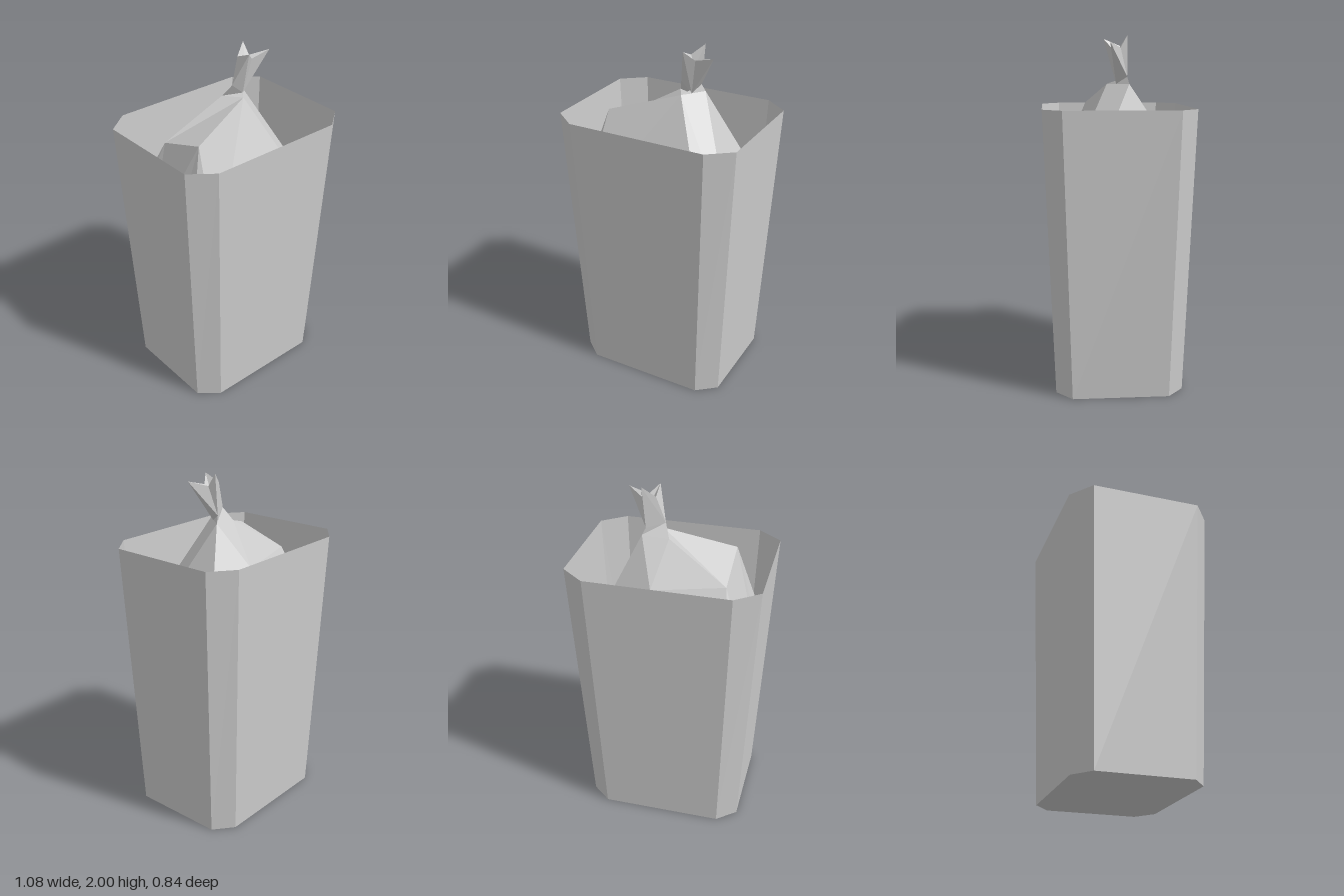
import * as THREE from 'three';

const material = new THREE.MeshStandardMaterial({ color: 0xcccccc, flatShading: true, side: THREE.DoubleSide });

// Flat-shaded mesh from triangles given as corner points
function facets(name, triangles) {
  const geometry = new THREE.BufferGeometry();
  geometry.setAttribute('position', new THREE.Float32BufferAttribute(triangles.flat(2), 3));
  geometry.computeVertexNormals();
  const mesh = new THREE.Mesh(geometry, material);
  mesh.name = name;
  return mesh;
}

// Triangles from one centre to a strip of points
function fan(centre, points) {
  return points.slice(1).map((p, i) => [centre, points[i], p]);
}

// Rectangle with cut corners, counter-clockwise from above
function octagon(y, x, z, cx, cz) {
  return [[cx, z], [x, cz], [x, -cz], [cx, -z], [-cx, -z], [-x, -cz], [-x, cz], [-cx, z]]
    .map(([a, b]) => [a, y, b]);
}

function createBin() {
  const bin = new THREE.Group();
  bin.name = 'bin';
  const low = octagon(0, 0.46, 0.36, 0.35, 0.27);
  const top = octagon(1.6, 0.54, 0.42, 0.405, 0.315);
  const walls = [];
  low.forEach((p, i) => {
    const j = (i + 1) % low.length;
    walls.push([p, low[j], top[j]], [p, top[j], top[i]]);
  });
  bin.add(facets('binWalls', walls));
  bin.add(facets('binFloor', fan([0, 0, 0], [...low, low[0]].reverse())));
  return bin;
}

function createBag() {
  const bag = new THREE.Group();
  bag.name = 'trashBag';

  // Line where the bag touches the bin walls, clockwise from the back left
  const rim = [
    [-0.385, -0.395], [0.355, -0.395], [0.505, -0.3], [0.5, 0.245], [0.4, 0.38], [-0.39, 0.39],
    [-0.49, 0.285], [-0.49, 0.11], [-0.505, -0.05], [-0.505, -0.22], [-0.49, -0.31],
  ].map(([x, z]) => [x, 1.04, z]);
  const rims = (...ids) => ids.map((i) => rim[i]);

  // Bulges of the sack and the three corners of its neck
  const leftBack = [-0.32, 1.51, -0.145];
  const leftFront = [-0.32, 1.61, 0.155];
  const back = [0.08, 1.49, -0.24];
  const neckRight = [0.17, 1.73, -0.07];
  const neckLeft = [0.02, 1.72, -0.06];
  const neckFront = [0.08, 1.73, 0.05];

  bag.add(facets('sack', [
    ...fan(neckRight, [neckFront, rim[3], rim[2], back, neckLeft]),
    ...fan(neckFront, [leftFront, ...rims(5, 4, 3)]),
    ...fan(leftFront, [leftBack, ...rims(8, 7, 6, 5), neckFront]),
    ...fan(leftBack, [back, ...rims(0, 10, 9, 8)]),
    ...fan(back, rims(2, 1, 0)),
    [neckLeft, leftBack, neckFront],
    [neckFront, leftBack, leftFront],
    [neckLeft, back, leftBack],
  ]));

  // Twisted neck, pinched under the flared ends
  const neck = [neckLeft, neckFront, neckRight];
  const pinch = [[0.05, 1.79, -0.01], [0.12, 1.73, 0], [0.15, 1.77, -0.06]];
  const tips = [[0.1, 1.98, 0.07], [0.27, 1.96, 0.045], [0.17, 2, -0.06]];
  const dips = [[0.1, 1.94, -0.025], [0.155, 1.93, 0.03], [0.18, 1.93, -0.02]];
  const hollow = [0.14, 1.89, 0];
  const twist = [];
  const ends = [];
  for (let i = 0; i < 3; i++) {
    const j = (i + 1) % 3;
    twist.push([neck[i], neck[j], pinch[j]], [neck[i], pinch[j], pinch[i]]);
    ends.push(
      [pinch[i], pinch[j], tips[i]],
      [pinch[i], tips[i], dips[i]],
      [pinch[j], dips[j], tips[i]],
      [hollow, dips[i], tips[i]],
      [hollow, tips[i], dips[j]],
    );
  }
  bag.add(facets('bagNeck', twist), facets('bagEnds', ends));
  return bag;
}

export function createModel() {
  const model = new THREE.Group();
  model.name = 'trashBin';
  model.add(createBin(), createBag());
  return model;
}
